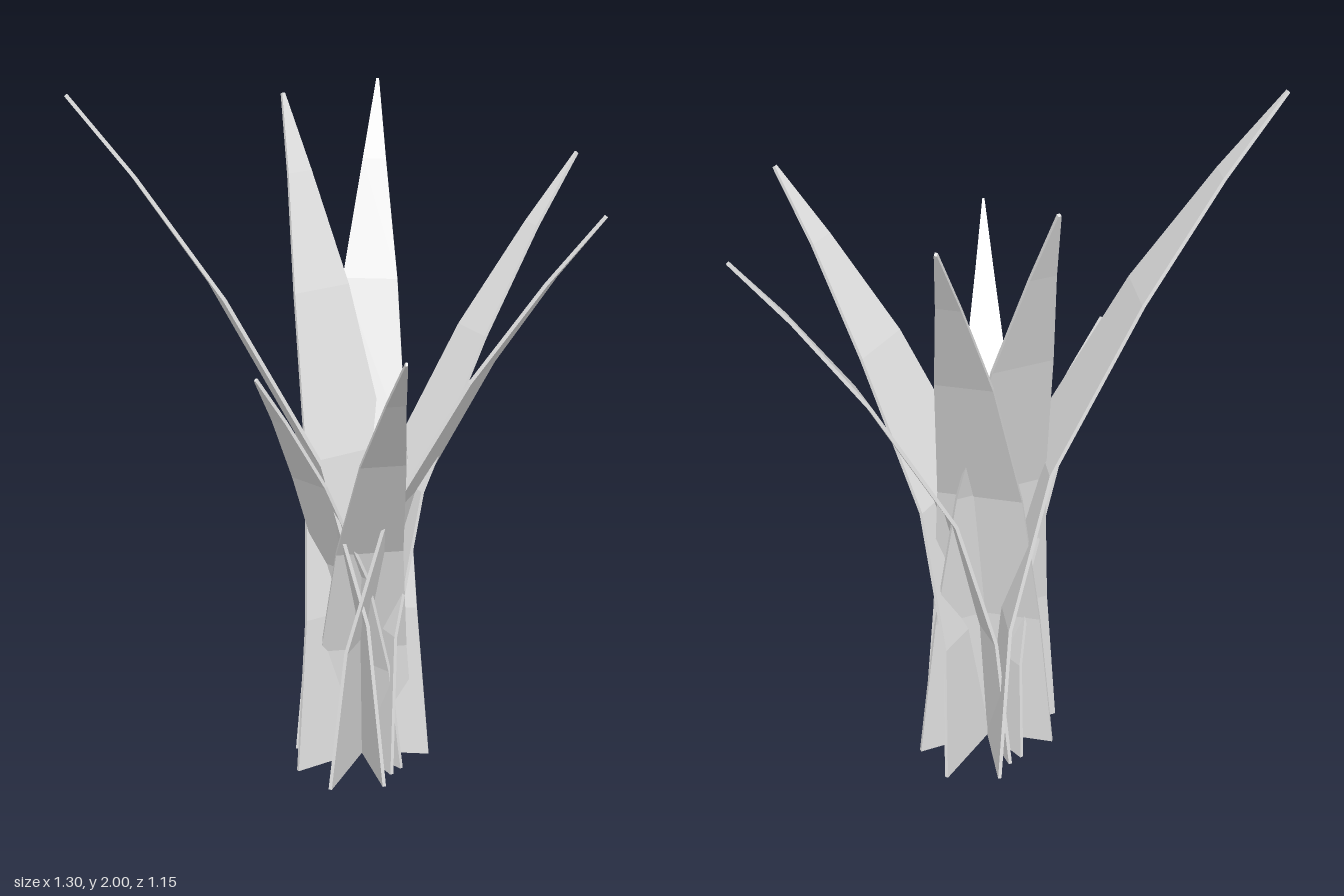
import * as THREE from 'three';

// Shared blade curve: height fraction, outward lean fraction, width fraction
const STATIONS = [
  [0, 0, 1], [0.245, 0.045, 0.8], [0.485, 0.195, 0.61],
  [0.725, 0.515, 0.4], [0.89, 0.79, 0.17], [1, 1, 0.02],
];
const ROOT = { x: -0.03, z: -0.01 };
const THICKNESS = 0.01;

// Each blade: tip position and half width at the root
const BLADES = [
  { tip: [-0.645, 2.0, 0.465], half: 0.22 },
  { tip: [-0.355, 1.88, -0.25], half: 0.22 },
  { tip: [-0.19, 1.87, -0.56], half: 0.195 },
  { tip: [0.405, 1.705, -0.57], half: 0.165 },
  { tip: [0.645, 1.69, 0], half: 0.245 },
  { tip: [0.31, 1.435, 0.57], half: 0.155 },
  { tip: [-0.18, 1.265, 0.37], half: 0.155 },
];

// Thin closed strip that bends outward and tapers to its tip
function bladeGeometry({ tip, half }) {
  const dx = tip[0] - ROOT.x, dz = tip[2] - ROOT.z;
  const reach = Math.hypot(dx, dz);
  const out = new THREE.Vector3(dx / reach, 0, dz / reach);
  const side = new THREE.Vector3(-out.z, 0, out.x);
  const positions = [], index = [];

  STATIONS.forEach(([h, lean, width], i) => {
    const a = STATIONS[Math.max(i - 1, 0)];
    const b = STATIONS[Math.min(i + 1, STATIONS.length - 1)];
    const rise = (b[0] - a[0]) * tip[1], run = (b[1] - a[1]) * reach;
    const normal = out.clone().multiplyScalar(rise).setY(i === 0 ? 0 : -run).normalize();
    const centre = new THREE.Vector3(ROOT.x, h * tip[1], ROOT.z).addScaledVector(out, lean * reach);
    for (const [s, t] of [[-1, -1], [1, -1], [1, 1], [-1, 1]]) {
      const p = centre.clone().addScaledVector(side, s * half * width)
        .addScaledVector(normal, t * THICKNESS / 2);
      positions.push(p.x, p.y, p.z);
    }
  });

  // Four outward walls between neighbouring sections, then both end caps
  for (let i = 0; i < STATIONS.length - 1; i++) {
    for (let k = 0; k < 4; k++) {
      const a = i * 4 + k, b = i * 4 + (k + 1) % 4;
      index.push(a, b, a + 4, b, b + 4, a + 4);
    }
  }
  const e = (STATIONS.length - 1) * 4;
  index.push(0, 2, 1, 0, 3, 2, e, e + 1, e + 2, e, e + 2, e + 3);

  const geometry = new THREE.BufferGeometry();
  geometry.setAttribute('position', new THREE.Float32BufferAttribute(positions, 3));
  geometry.setIndex(index);
  const flat = geometry.toNonIndexed();
  flat.computeVertexNormals();
  return flat;
}

export function createModel() {
  const group = new THREE.Group();
  group.name = 'grassTuft';
  const material = new THREE.MeshStandardMaterial({ color: 0xe0e0e0 });
  material.name = 'paleGrey';
  BLADES.forEach((blade, i) => {
    const mesh = new THREE.Mesh(bladeGeometry(blade), material);
    mesh.name = `blade${i + 1}`;
    group.add(mesh);
  });
  return group;
}
